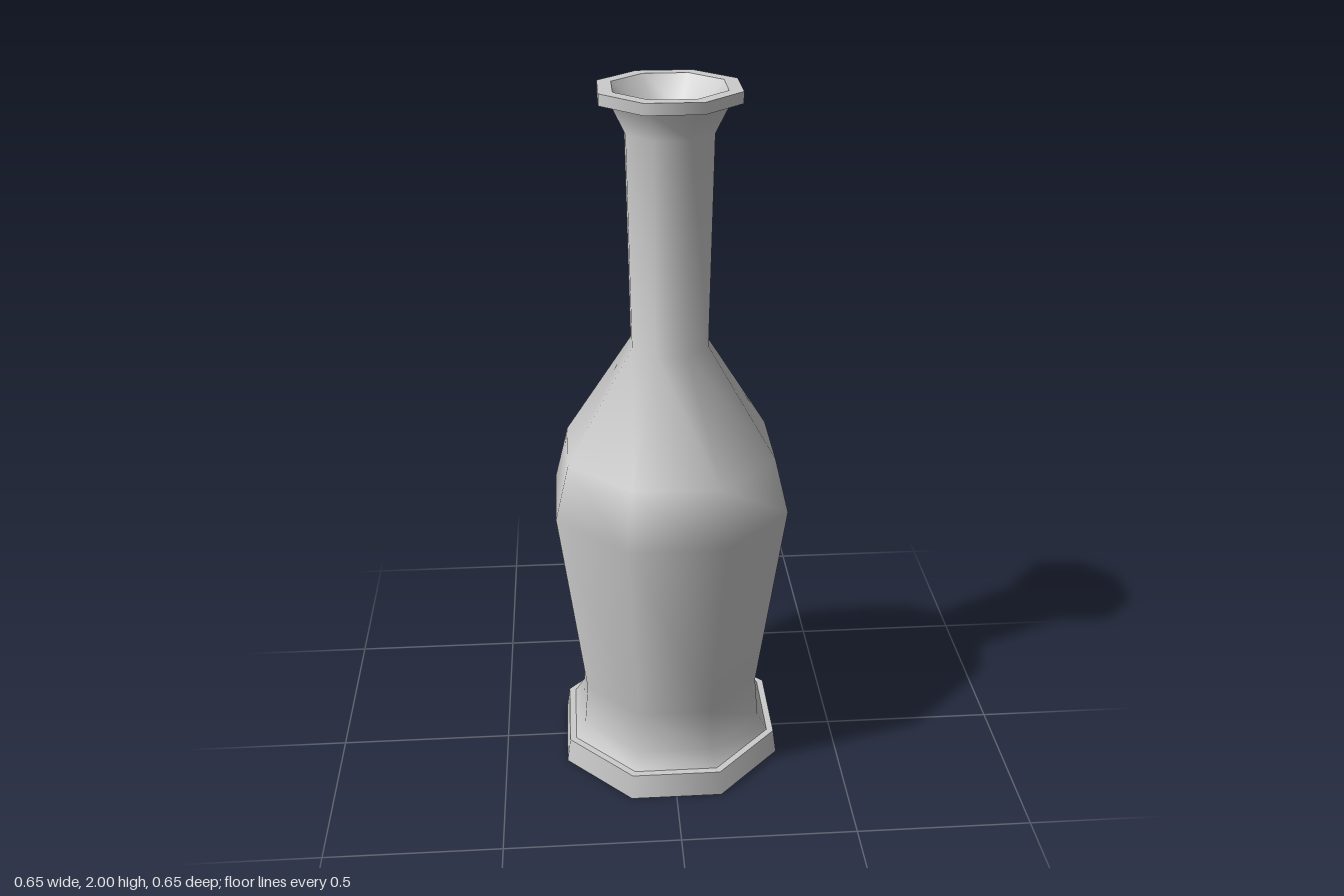
import * as THREE from 'three';

const SIDES = 8;
const material = new THREE.MeshStandardMaterial({ color: 0xcccccc });

// Turn a profile of [distance to flat side, height], listed bottom to top on the outside.
// The eight flat sides face the axes, so radii are widened to the corners.
function turned(name, profile) {
  const widen = 1 / Math.cos(Math.PI / SIDES);
  const points = profile.map(([r, y]) => new THREE.Vector2(r * widen, y));
  const mesh = new THREE.Mesh(new THREE.LatheGeometry(points, SIDES, Math.PI / SIDES), material);
  mesh.name = name;
  return mesh;
}

export function createModel() {
  const bottle = new THREE.Group();
  bottle.name = 'bottle';

  // Each strip is smooth in itself; creases fall where strips meet
  bottle.add(
    // Foot
    turned('footUnderside', [[0, 0], [0.317, 0]]),
    turned('footRim', [[0.317, 0], [0.307, 0.075]]),
    turned('footLedge', [[0.307, 0.075], [0.288, 0.075]]),
    // Body, shoulder and neck
    turned('body', [
      [0.288, 0.075], [0.26, 0.125], [0.25, 0.25], [0.323, 0.84],
      [0.285, 1.0], [0.103, 1.31], [0.113, 1.89], [0.15, 1.97],
    ]),
    // Lip
    turned('lipUnderside', [[0.15, 1.97], [0.18, 1.97]]),
    turned('lipRim', [[0.18, 1.97], [0.18, 2]]),
    turned('lipTop', [[0.18, 2], [0.144, 2]]),
    // Mouth: a funnel leading into a steep closed hollow
    turned('mouthFunnel', [[0.144, 2], [0.078, 1.92]]),
    turned('neckHollow', [[0.078, 1.92], [0, 1.7]]),
  );
  return bottle;
}
